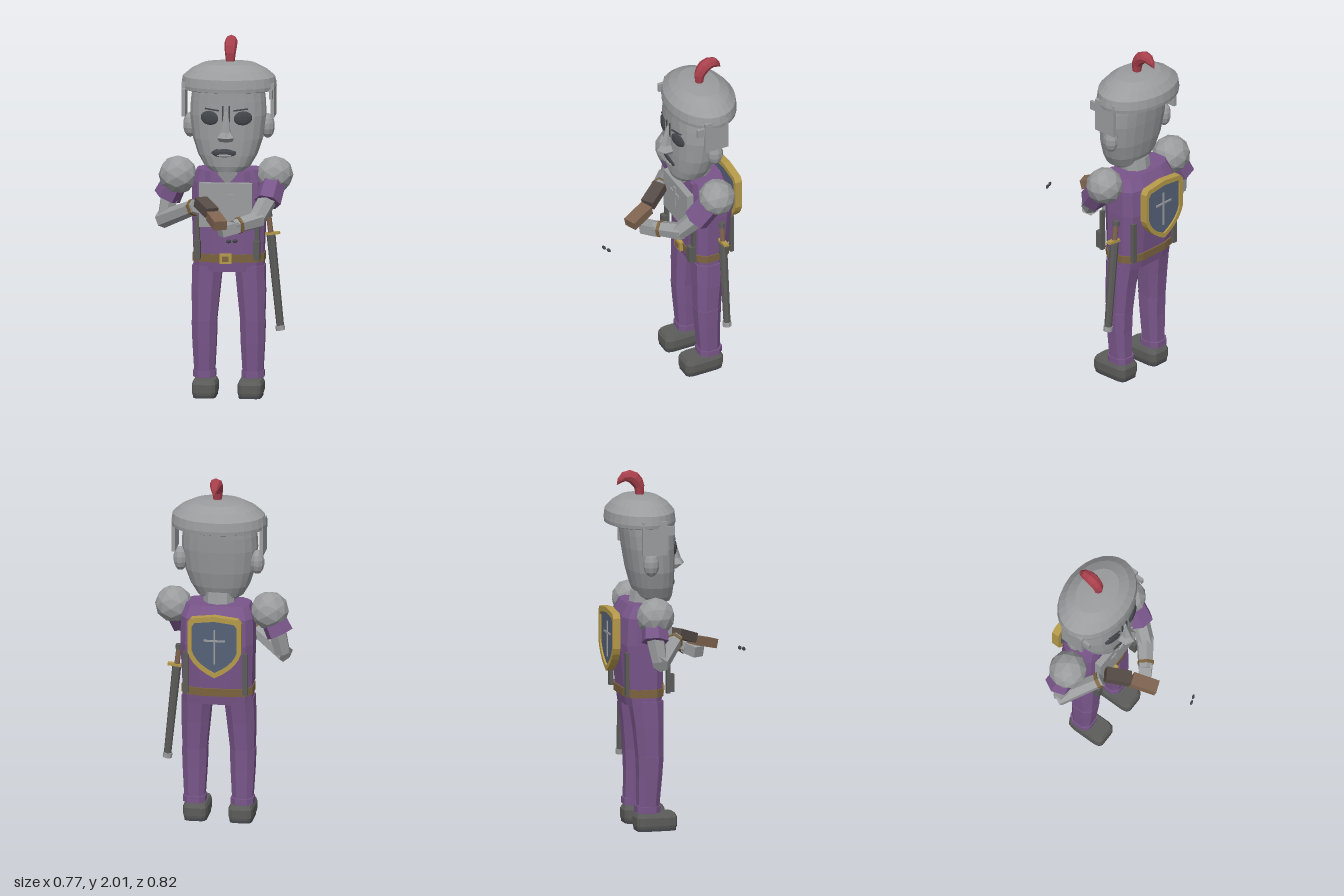
import * as THREE from 'three';

const paint = (name, color) => {
  const m = new THREE.MeshStandardMaterial({ color, flatShading: true, side: THREE.DoubleSide });
  m.name = name;
  return m;
};
const steel = paint('steel', 0x9a9c9e), purple = paint('purple cloth', 0x79568a);
const dark = paint('dark leather', 0x5c5c5a), black = paint('shadow grey', 0x44474c);
const beltBrown = paint('belt brown', 0x7d6540), gold = paint('gold', 0xb59a4a);
const brown = paint('brown', 0x7f6450), umber = paint('umber', 0x564b46);
const red = paint('red', 0xa8404c), blue = paint('slate blue', 0x566278);

const V = (x, y, z) => new THREE.Vector3(x, y, z);
const CX = 0.03; // middle line of the body

export function createModel() {
  const root = new THREE.Group();
  root.name = 'knight';

  const add = (name, geo, mat, x = 0, y = 0, z = 0, parent = root) => {
    const m = new THREE.Mesh(geo, mat);
    m.name = name;
    m.position.set(x, y, z);
    parent.add(m);
    return m;
  };
  const box = (name, mat, w, h, d, x, y, z, parent) =>
    add(name, new THREE.BoxGeometry(w, h, d), mat, x, y, z, parent);
  const ball = (name, mat, rx, ry, rz, x, y, z) => {
    const m = add(name, new THREE.SphereGeometry(1, 10, 7), mat, x, y, z);
    m.scale.set(rx, ry, rz);
    return m;
  };

  // Closed body through rings [y, centre x, centre z, radius x, radius z], bottom to top
  const loft = (rings, n, e = 1) => {
    const pos = [], idx = [];
    const soft = v => Math.sign(v) * Math.abs(v) ** e;
    for (const [y, cx, cz, rx, rz] of rings)
      for (let j = 0; j < n; j++) {
        const a = (j + 0.5) / n * Math.PI * 2;
        pos.push(cx + rx * soft(Math.cos(a)), y, cz + rz * soft(Math.sin(a)));
      }
    for (let i = 0; i < rings.length - 1; i++)
      for (let j = 0; j < n; j++) {
        const k = (j + 1) % n, a = i * n + j, b = i * n + k;
        idx.push(a, a + n, b, b, a + n, b + n);
      }
    const top = (rings.length - 1) * n;
    for (let j = 1; j < n - 1; j++) idx.push(0, j, j + 1, top, top + j + 1, top + j);
    const g = new THREE.BufferGeometry();
    g.setAttribute('position', new THREE.Float32BufferAttribute(pos, 3));
    g.setIndex(idx);
    g.computeVertexNormals();
    return g;
  };

  // Straight limb between two points
  const limb = (name, mat, a, b, ra, rb, sides = 6) => {
    const d = b.clone().sub(a);
    const m = add(name, new THREE.CylinderGeometry(rb, ra, d.length(), sides), mat);
    m.position.copy(a).add(b).multiplyScalar(0.5);
    m.quaternion.setFromUnitVectors(V(0, 1, 0), d.normalize());
    return m;
  };
  const bar = (name, mat, a, b, w, h) => {
    const m = box(name, mat, w, h, a.distanceTo(b), 0, 0, 0);
    m.position.copy(a).add(b).multiplyScalar(0.5);
    m.lookAt(b);
    return m;
  };

  // Head and neck
  add('head', loft([
    [1.27, CX, -0.12, 0.09, 0.08], [1.30, CX, -0.13, 0.13, 0.10], [1.36, CX, -0.14, 0.165, 0.115],
    [1.45, CX, -0.15, 0.195, 0.128], [1.58, CX, -0.16, 0.212, 0.14], [1.66, CX, -0.165, 0.208, 0.145],
    [1.76, CX, -0.17, 0.195, 0.15]], 20, 0.87), steel);
  limb('neck', steel, V(CX, 1.2, -0.19), V(CX, 1.32, -0.17), 0.09, 0.09, 10);
  add('nose', loft([
    [1.445, CX, -0.02, 0.04, 0.03], [1.47, CX, 0, 0.055, 0.05], [1.5, CX, -0.01, 0.028, 0.04],
    [1.61, CX, -0.022, 0.014, 0.015]], 6), steel);
  for (const s of [-1, 1]) {
    ball('ear', steel, 0.04, 0.07, 0.045, CX + s * 0.215, 1.51, -0.2);
    const eye = ball('eye', black, 0.053, 0.04, 0.012, CX + s * 0.093, 1.575, -0.031);
    eye.rotation.set(0, s * 0.3, s * 0.06);
    const brow = box('brow', black, 0.08, 0.008, 0.009, CX + s * 0.08, 1.622, -0.028);
    brow.rotation.set(0, s * 0.25, s * 0.12);
    box('browCrease', black, 0.007, 0.09, 0.008, CX + s * 0.018, 1.6, -0.019);
    const cheek = box('cheekMark', steel, 0.035, 0.04, 0.009, CX + s * 0.16, 1.48, -0.08);
    cheek.rotation.y = s * 0.8;
  }
  ball('mouth', black, 0.076, 0.03, 0.02, CX - 0.01, 1.38, -0.037);
  ball('lowerLip', steel, 0.045, 0.01, 0.02, CX - 0.01, 1.365, -0.03);

  // Helmet with cheek guards and plume
  const profile = [[0.19, 1.73], [0.245, 1.71], [0.262, 1.715], [0.265, 1.735], [0.257, 1.785],
    [0.21, 1.825], [0.145, 1.857], [0.06, 1.866], [0, 1.868]].map(p => new THREE.Vector2(...p));
  const helmet = add('helmet', new THREE.LatheGeometry(profile, 28), steel, CX, 0, -0.207);
  helmet.scale.z = 0.73;
  for (const s of [-1, 1]) {
    const x = CX + s * 0.247;
    box('cheekGuard', steel, 0.02, 0.19, 0.14, x, 1.66, -0.19);
    box('cheekGuardFlap', steel, 0.018, 0.05, 0.07, x - s * 0.005, 1.70, -0.11);
  }
  const curve = new THREE.CatmullRomCurve3([V(0.037, 1.85, -0.205), V(0.037, 1.92, -0.21),
    V(0.037, 1.967, -0.25), V(0.037, 1.968, -0.295), V(0.037, 1.925, -0.335)]);
  const plumeGeo = new THREE.TubeGeometry(curve, 8, 1, 8);
  const width = [0.022, 0.026, 0.03, 0.034, 0.036, 0.034, 0.028, 0.018, 0.002];
  const pp = plumeGeo.attributes.position, p = V(0, 0, 0);
  for (let i = 0; i < pp.count; i++) {
    const ring = Math.floor(i / 9), c = curve.getPointAt(ring / 8);
    p.fromBufferAttribute(pp, i).sub(c).multiplyScalar(width[ring]).add(c);
    pp.setXYZ(i, p.x, p.y, p.z);
  }
  add('plume', plumeGeo, red);

  // Torso, belt and buckle
  add('torso', loft([
    [0.70, CX, -0.21, 0.198, 0.10], [0.80, CX, -0.212, 0.198, 0.114], [1.05, CX, -0.222, 0.208, 0.128],
    [1.2, CX, -0.22, 0.205, 0.12], [1.27, CX, -0.205, 0.18, 0.095]], 12, 0.6), purple);
  add('belt', loft([[0.755, CX, -0.213, 0.203, 0.119], [0.80, CX, -0.213, 0.203, 0.121]], 12, 0.6), beltBrown);
  box('buckle', gold, 0.066, 0.056, 0.025, 0.021, 0.777, -0.09);
  box('buckleCentre', beltBrown, 0.036, 0.028, 0.008, 0.021, 0.777, -0.076);

  // Straps and pouches
  for (const s of [-1, 1]) {
    box('frontStrap', dark, 0.026, 0.24, 0.02, CX + s * 0.165, 0.89, -0.09);
    box('frontPouch', dark, 0.036, 0.1, 0.04, CX + s * 0.165, 0.83, -0.078);
    box('backStrap', dark, 0.028, 0.24, 0.022, CX + s * 0.165, 0.89, -0.325);
    box('collarStrip', purple, 0.03, 0.06, 0.016, CX + s * 0.11, 1.235, -0.11);
  }

  // Breastplate with raised cross
  box('breastplate', steel, 0.295, 0.245, 0.04, 0.022, 1.08, -0.085);
  box('breastCrossUpright', steel, 0.022, 0.13, 0.009, 0.02, 1.11, -0.062);
  box('breastCrossArm', steel, 0.1, 0.022, 0.009, 0.02, 1.13, -0.062);

  // Shield on the back
  const shieldShape = k => {
    const s = new THREE.Shape();
    s.moveTo(0, 0.18 * k);
    s.lineTo(0.13 * k, 0.165 * k);
    s.lineTo(0.15 * k, 0.14 * k);
    s.lineTo(0.15 * k, -0.03 * k);
    s.quadraticCurveTo(0.125 * k, -0.12 * k, 0, -0.178 * k);
    s.quadraticCurveTo(-0.125 * k, -0.12 * k, -0.15 * k, -0.03 * k);
    s.lineTo(-0.15 * k, 0.14 * k);
    s.lineTo(-0.13 * k, 0.165 * k);
    return s;
  };
  const rim = shieldShape(1);
  rim.holes.push(shieldShape(0.84));
  const slab = (s, depth) => new THREE.ExtrudeGeometry(s, { depth, bevelEnabled: false, curveSegments: 5 });
  add('shieldRim', slab(rim, 0.042), gold, 0.025, 1.063, -0.402);
  add('shieldField', slab(shieldShape(0.85), 0.025), blue, 0.025, 1.063, -0.392);
  box('shieldCrossUpright', steel, 0.01, 0.2, 0.008, 0.025, 1.065, -0.394);
  box('shieldCrossArm', steel, 0.12, 0.01, 0.008, 0.025, 1.1, -0.394);

  // Shoulder pads
  add('rightShoulderPad', new THREE.IcosahedronGeometry(0.108, 1), steel, -0.253, 1.228, -0.195);
  add('leftShoulderPad', new THREE.IcosahedronGeometry(0.104, 1), steel, 0.285, 1.238, -0.19);

  // Right arm
  limb('rightSleeve', purple, V(-0.26, 1.21, -0.2), V(-0.315, 1.10, -0.215), 0.07, 0.078);
  limb('rightUpperArm', steel, V(-0.295, 1.13, -0.21), V(-0.325, 0.985, -0.19), 0.055, 0.045);
  limb('rightForearm', steel, V(-0.345, 0.975, -0.195), V(-0.14, 1.075, -0.045), 0.05, 0.042);
  limb('rightCuff', beltBrown, V(-0.165, 1.063, -0.063), V(-0.15, 1.07, -0.052), 0.048, 0.048);

  // Left arm
  limb('leftSleeve', purple, V(0.285, 1.22, -0.17), V(0.255, 1.10, -0.075), 0.07, 0.075);
  limb('leftUpperArm', steel, V(0.265, 1.13, -0.1), V(0.2, 1.01, 0), 0.055, 0.048);
  limb('leftForearm', steel, V(0.215, 1.015, -0.015), V(0.08, 0.985, 0.09), 0.052, 0.042);
  limb('leftCuff', beltBrown, V(0.115, 0.992, 0.065), V(0.102, 0.99, 0.075), 0.05, 0.05);
  bar('leftHand', steel, V(0.1, 0.985, 0.08), V(0.01, 0.965, 0.13), 0.07, 0.06);

  // Tool held in both hands
  bar('toolGrip', umber, V(-0.115, 1.105, -0.04), V(-0.04, 1.06, 0.075), 0.075, 0.055);
  bar('toolHead', brown, V(-0.034, 1.045, 0.08), V(0.02, 1.01, 0.215), 0.075, 0.052);

  // Sword in its scabbard
  limb('scabbard', dark, V(0.26, 0.89, -0.24), V(0.311, 0.385, -0.24), 0.025, 0.021, 8);
  limb('scabbardTip', steel, V(0.309, 0.385, -0.24), V(0.313, 0.358, -0.24), 0.026, 0.026, 8);
  limb('swordGrip', brown, V(0.247, 1.0, -0.24), V(0.259, 0.9, -0.24), 0.015, 0.015, 8);
  limb('pommel', dark, V(0.245, 1.02, -0.24), V(0.248, 0.993, -0.24), 0.02, 0.02, 8);
  box('crossguard', gold, 0.095, 0.014, 0.03, 0.262, 0.9, -0.24).rotation.z = 0.1;

  // Legs and shoes
  for (const s of [-1, 1]) {
    const c = d => CX - 0.022 + 0.022 + s * d;
    add('thigh', loft([[0.40, c(0.134), -0.188, 0.07, 0.075], [0.58, c(0.127), -0.195, 0.082, 0.085],
      [0.73, c(0.118), -0.205, 0.088, 0.096]], 8, 0.8), purple);
    add('shin', loft([[0.10, c(0.134), -0.2, 0.058, 0.062], [0.3, c(0.134), -0.19, 0.07, 0.07],
      [0.42, c(0.134), -0.188, 0.074, 0.077]], 8, 0.8), purple);
    add('ankleCuff', loft([[0.105, c(0.134), -0.2, 0.066, 0.07], [0.14, c(0.134), -0.2, 0.066, 0.07]], 8, 0.7), purple);
    add('shoe', loft([[0.015, c(0.127), -0.155, 0.066, 0.114], [0.03, c(0.127), -0.155, 0.07, 0.117],
      [0.075, c(0.127), -0.155, 0.07, 0.117], [0.097, c(0.127), -0.155, 0.06, 0.105]], 12, 0.35), dark);
    add('sole', loft([[0, c(0.127), -0.155, 0.064, 0.112], [0.02, c(0.127), -0.155, 0.064, 0.112]], 12, 0.35), black);
  }

  // Two small drifting chips in front
  ball('chip', black, 0.015, 0.011, 0.007, 0.083, 0.955, 0.407).rotation.y = 0.35;
  ball('chip', black, 0.015, 0.011, 0.007, 0.117, 0.955, 0.394).rotation.y = 0.35;

  return root;
}
